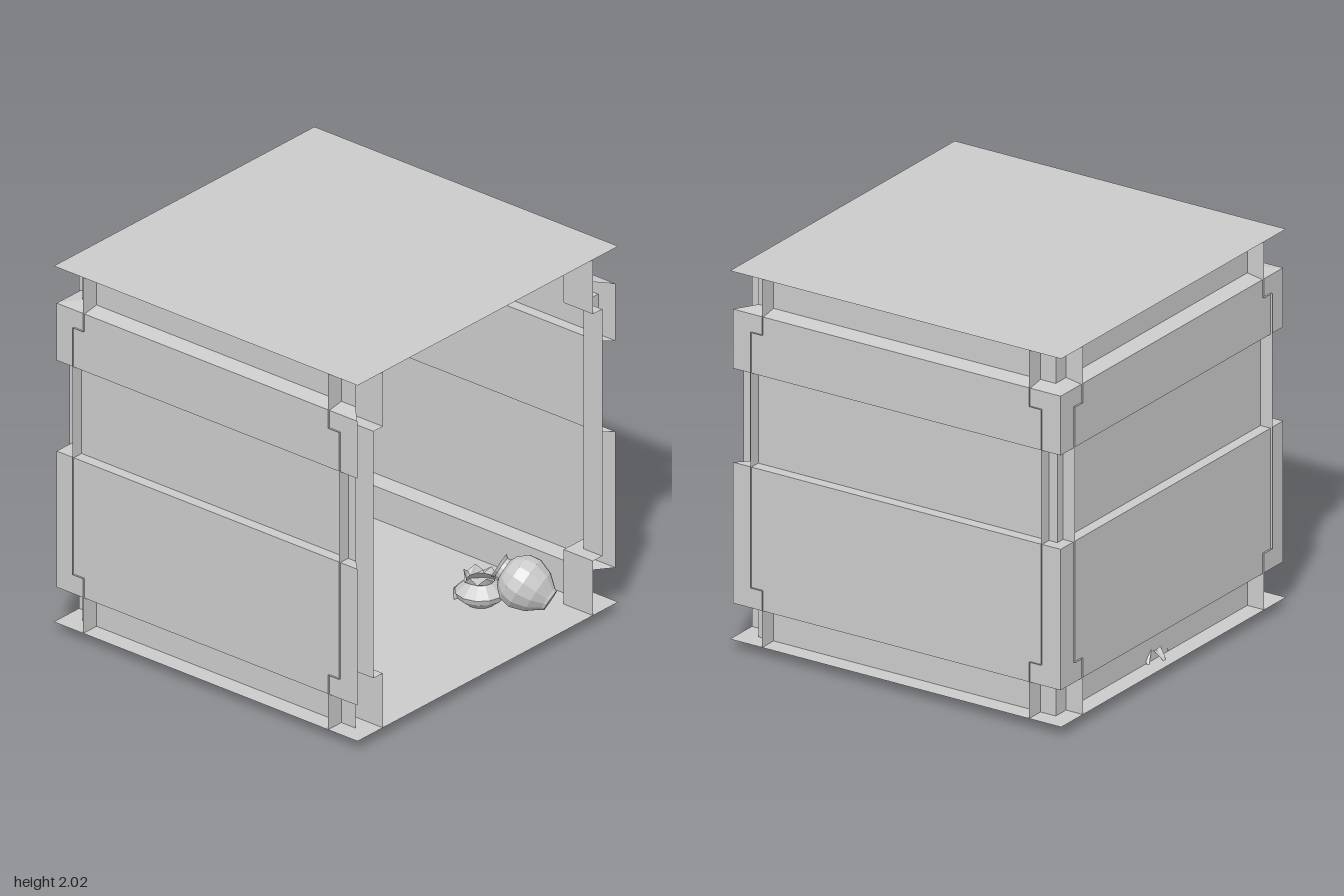
import * as THREE from 'three';

const smooth = new THREE.MeshStandardMaterial({ color: 0xcccccc, side: THREE.DoubleSide });
const flat = new THREE.MeshStandardMaterial({ color: 0xcccccc, side: THREE.DoubleSide, flatShading: true });

function add(parent, name, geometry, material = flat) {
  const mesh = new THREE.Mesh(geometry, material);
  mesh.name = name;
  parent.add(mesh);
  return mesh;
}

// Sweeps a plan line up a profile of [height, distance from the middle]
function sheet(profile, line) {
  const pos = [];
  for (let i = 0; i < profile.length - 1; i++) {
    const [y0, r0] = profile[i], [y1, r1] = profile[i + 1];
    const low = line(r0), high = line(r1);
    for (let j = 0; j < low.length - 1; j++) {
      const a = [low[j][0], y0, low[j][1]], b = [low[j + 1][0], y0, low[j + 1][1]];
      const c = [high[j + 1][0], y1, high[j + 1][1]], d = [high[j][0], y1, high[j][1]];
      pos.push(...a, ...b, ...c, ...a, ...c, ...d);
    }
  }
  const g = new THREE.BufferGeometry();
  g.setAttribute('position', new THREE.Float32BufferAttribute(pos, 3));
  g.computeVertexNormals();
  return g;
}

// Lathed vessel from [radius, height] points
function pot(parent, name, points, x, z, sides = 20, material = smooth) {
  const g = new THREE.LatheGeometry(points.map(([r, y]) => new THREE.Vector2(r, y)), sides);
  const mesh = add(parent, name, g, material);
  mesh.position.set(x, 0.04, z);
  return mesh;
}

// Two ear handles, on the +z and -z sides of a vessel
function handles(vessel, inner, outer, low, high) {
  for (const s of [1, -1]) {
    const curve = new THREE.CatmullRomCurve3([
      [inner * 0.7, high], [outer * 0.95, high + 0.003], [outer, (low + high) / 2 + 0.008], [inner, low],
    ].map(([r, y]) => new THREE.Vector3(0, y, s * r)));
    add(vessel, 'handle', new THREE.TubeGeometry(curve, 10, 0.007, 6), smooth);
  }
}

// Pointed, folded blade growing along +x
function blade(length, width, arch, drop, fold) {
  const g = new THREE.PlaneGeometry(1, 1, 2, 5);
  const p = g.attributes.position;
  for (let i = 0; i < p.count; i++) {
    const t = p.getY(i) + 0.5, s = p.getX(i) * 2;
    const w = width * Math.sin(Math.PI * Math.pow(t, 0.8));
    p.setXYZ(i, length * t, arch * Math.sin(Math.PI * t) - drop * t * t + fold * Math.abs(s) * w, s * w);
  }
  g.computeVertexNormals();
  return g;
}

function rose() {
  const group = new THREE.Group();
  group.name = 'rose';
  group.position.set(-0.79, 0.06, 0);
  const stem = new THREE.CatmullRomCurve3([
    new THREE.Vector3(0, 0, 0.03), new THREE.Vector3(0, 0.07, -0.01), new THREE.Vector3(0, 0.22, -0.075),
  ]);
  add(group, 'stem', new THREE.TubeGeometry(stem, 8, 0.004, 5));
  // Ground leaves: direction, length, arch, drop
  [[0.1, 0.17, 0.05, 0.05], [0.9, 0.15, 0.06, 0.03], [1.6, 0.19, 0.05, 0.075], [2.4, 0.15, 0.06, 0.04],
    [3.1, 0.16, 0.04, 0.05], [4.0, 0.15, 0.07, 0.05], [4.7, 0.13, 0.03, 0.02], [5.4, 0.14, 0.06, 0.045],
  ].forEach(([angle, length, arch, drop]) => {
    const leaf = add(group, 'leaf', blade(length, 0.035, arch, drop, 0.3));
    leaf.rotation.y = angle;
  });
  // Blossom: rings of petals opening outward
  const blossom = new THREE.Group();
  blossom.name = 'blossom';
  blossom.position.set(0, 0.22, -0.078);
  blossom.rotation.x = -0.35;
  group.add(blossom);
  [[4, 0.06, 1.4], [5, 0.075, 1.05], [6, 0.075, 0.6], [5, 0.055, -0.1]].forEach(([count, length, lift], ring) => {
    for (let i = 0; i < count; i++) {
      const petal = add(blossom, 'petal', blade(length, 0.027, -0.01, 0, 0.35));
      petal.rotation.set(0, (i + ring * 0.4) * Math.PI * 2 / count, lift, 'YXZ');
      petal.position.y = 0.02;
    }
  });
  return group;
}

export function createModel() {
  const model = new THREE.Group();

  // Floor and ceiling sheets
  for (const [name, y] of [['floor', 0.04], ['ceiling', 2]]) {
    const g = new THREE.PlaneGeometry(1.96, 1.96).rotateX(-Math.PI / 2);
    add(model, name, g).position.y = y;
  }

  // Stepped walls with mitred ends, open on the +x side
  const wallProfile = [[0.04, 0.88], [0.22, 0.88], [0.23, 0.97], [0.98, 0.97], [0.98, 0.91],
    [1.48, 0.91], [1.48, 0.97], [1.795, 0.97], [1.81, 0.88], [2, 0.88]];
  const wall = sheet(wallProfile, r => [[-r, r], [r, r]]);
  [['frontWall', 0], ['sideWall', -Math.PI / 2], ['backWall', Math.PI]].forEach(([name, turn]) => {
    add(model, name, wall).rotation.y = turn;
  });

  // Corner posts: two inner faces with a thicker foot and head
  const postProfile = [[0.04, 0.79], [0.34, 0.79], [0.34, 0.86], [1.7, 0.86], [1.7, 0.79], [2, 0.79]];
  const post = sheet(postProfile, r => [[r, 0.98], [r, r], [0.98, r]]);
  for (let i = 0; i < 4; i++) add(model, 'cornerPost', post).rotation.y = i * Math.PI / 2;

  // Vessels along the closed side
  const amphoraProfile = [[0, 0], [0.035, 0], [0.04, 0.015], [0.06, 0.08], [0.072, 0.15], [0.068, 0.175],
    [0.045, 0.2], [0.04, 0.225], [0.05, 0.245], [0.066, 0.25], [0.06, 0.26], [0.045, 0.25], [0.034, 0.22]];
  handles(pot(model, 'amphora', amphoraProfile, -0.79, 0.615), 0.06, 0.088, 0.185, 0.235);

  pot(model, 'squatPot', [[0, 0], [0.035, 0], [0.055, 0.02], [0.069, 0.05], [0.066, 0.075], [0.045, 0.095],
    [0.042, 0.1], [0.055, 0.113], [0.045, 0.11], [0.035, 0.095]], -0.78, 0.42);

  pot(model, 'tallPot', [[0, 0], [0.05, 0], [0.06, 0.02], [0.095, 0.12], [0.1, 0.19], [0.08, 0.245],
    [0.045, 0.275], [0.044, 0.295], [0.057, 0.31], [0.057, 0.318], [0.04, 0.31], [0.035, 0.28]], -0.74, -0.54);

  handles(pot(model, 'cornerAmphora', amphoraProfile, -0.64, -0.78), 0.06, 0.088, 0.185, 0.235);

  // Small jug lying over on its side
  const jug = pot(model, 'fallenJug', [[0, 0], [0.035, 0], [0.06, 0.04], [0.07, 0.085], [0.06, 0.115],
    [0.035, 0.135], [0.034, 0.15], [0.048, 0.165], [0.03, 0.155]], -0.65, 0.65, 14, flat);
  jug.position.y = 0.09;
  jug.rotation.x = 1.15;
  handles(jug, 0.05, 0.07, 0.105, 0.15);

  model.add(rose());

  // Large tipped jar, its foot turned to the open side
  const jar = pot(model, 'tippedJar', [[0, -0.15], [0.058, -0.15], [0.065, -0.135], [0.115, -0.075], [0.142, 0.0],
    [0.132, 0.06], [0.09, 0.105], [0.06, 0.12], [0.055, 0.14], [0.07, 0.155]], 0.7, -0.605, 14, flat);
  jar.position.y = 0.195;
  jar.quaternion.setFromUnitVectors(new THREE.Vector3(0, -1, 0), new THREE.Vector3(0.82, -0.47, -0.3).normalize());

  // Broken pot with a jagged rim
  const broken = pot(model, 'brokenPot', [[0, 0], [0.07, 0], [0.12, 0.04], [0.13, 0.07], [0.085, 0.11],
    [0.07, 0.125], [0.085, 0.145]], 0.47, -0.54, 12, flat);
  const bp = broken.geometry.attributes.position;
  const jag = [0.02, -0.01, 0.025, 0, 0.03, -0.02];
  for (let i = 0; i < bp.count; i++) {
    if (bp.getY(i) > 0.14) bp.setY(i, bp.getY(i) + jag[Math.floor(i / 7) % 6]);
  }
  // Loose shard leaning on the broken pot
  const shard = add(model, 'shard', new THREE.SphereGeometry(0.09, 4, 3, 0, 1.1, 0.9, 0.9));
  shard.position.set(0.44, 0.07, -0.46);
  shard.rotation.set(0.4, -1.2, 0.3);

  return model;
}
